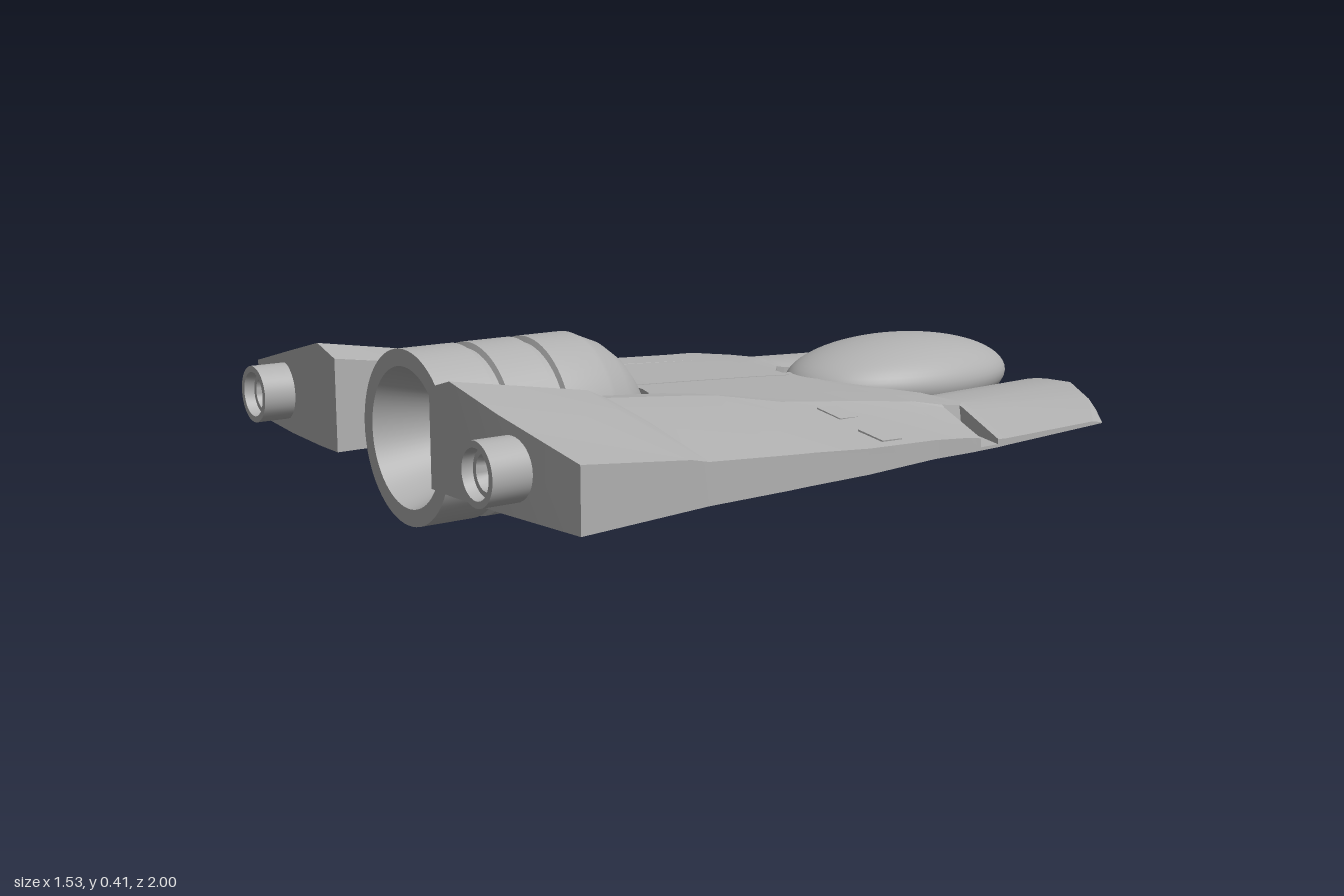
import * as THREE from 'three';
import { toCreasedNormals } from 'three/addons/utils/BufferGeometryUtils.js';

const hullGrey = new THREE.MeshStandardMaterial({ color: 0xb0b0b0 });
const BELLY = 0.14;

function part(name, geometry, x = 0, y = 0, z = 0) {
  const mesh = new THREE.Mesh(geometry, hullGrey);
  mesh.name = name;
  mesh.position.set(x, y, z);
  return mesh;
}

// Each section: z, sweep of the outer edge, six x values, six top heights
// (inner edge, step base, step top, ridge, shoulder, outer edge).
const foreSections = [
  [-1, 0.22, 0.20, 0.22, 0.25, 0.28, 0.49, 0.61, 0.145, 0.145, 0.145, 0.145, 0.145, 0.142],
  [-0.93, 0.19, 0.205, 0.23, 0.27, 0.36, 0.49, 0.615, 0.18, 0.185, 0.19, 0.193, 0.175, 0.15],
  [-0.46, 0.07, 0.28, 0.31, 0.34, 0.43, 0.485, 0.655, 0.193, 0.198, 0.203, 0.203, 0.192, 0.157],
  [-0.41, 0.05, 0.255, 0.29, 0.33, 0.475, 0.485, 0.66, 0.205, 0.212, 0.218, 0.208, 0.204, 0.16],
  [-0.409, 0.05, 0.255, 0.29, 0.33, 0.475, 0.485, 0.66, 0.205, 0.212, 0.218, 0.208, 0.15, 0.148],
  [-0.351, 0.05, 0.175, 0.25, 0.31, 0.475, 0.485, 0.663, 0.22, 0.225, 0.228, 0.216, 0.15, 0.148],
  [-0.35, 0.05, 0.175, 0.25, 0.31, 0.475, 0.485, 0.663, 0.22, 0.225, 0.228, 0.216, 0.21, 0.17],
  [-0.27, 0, 0.08, 0.20, 0.29, 0.45, 0.5, 0.665, 0.232, 0.234, 0.235, 0.23, 0.213, 0.175],
  [-0.255, 0, 0.004, 0.20, 0.29, 0.45, 0.5, 0.665, 0.233, 0.235, 0.236, 0.231, 0.215, 0.177],
];
const aftSections = [
  foreSections[8],
  [-0.15, 0, 0.004, 0.24, 0.29, 0.42, 0.5, 0.665, 0.24, 0.242, 0.243, 0.24, 0.22, 0.185],
  [0.08, 0, 0.004, 0.288, 0.289, 0.38, 0.5, 0.695, 0.252, 0.255, 0.256, 0.258, 0.235, 0.20],
  [0.25, 0, 0.004, 0.245, 0.246, 0.35, 0.5, 0.702, 0.26, 0.26, 0.277, 0.288, 0.263, 0.214],
  [0.255, 0, 0.06, 0.244, 0.245, 0.35, 0.5, 0.702, 0.26, 0.26, 0.277, 0.288, 0.263, 0.214],
  [0.32, 0, 0.225, 0.229, 0.23, 0.34, 0.5, 0.707, 0.265, 0.265, 0.283, 0.294, 0.269, 0.219],
  [0.54, 0, 0.23, 0.231, 0.232, 0.33, 0.5, 0.715, 0.298, 0.299, 0.3, 0.312, 0.284, 0.235],
  [0.59, 0, 0.23, 0.231, 0.232, 0.33, 0.5, 0.722, 0.315, 0.316, 0.317, 0.335, 0.302, 0.247],
  [0.93, -0.04, 0.23, 0.233, 0.236, 0.32, 0.5, 0.765, 0.364, 0.365, 0.366, 0.39, 0.347, 0.285],
];

// Skin a flat-bottomed hull through its sections
function loft(sections, capFront, capBack) {
  const pos = [], index = [], n = 12;
  for (const [z, sweep, ...v] of sections) {
    const zs = v.slice(0, 6).map((x) => z + sweep * Math.max(0, (x - v[3]) / (v[5] - v[3])) ** 1.5);
    for (let i = 0; i < 6; i++) pos.push(v[i], v[6 + i], zs[i]);
    for (let i = 5; i >= 0; i--) pos.push(v[i], BELLY, zs[i]);
  }
  for (let s = 0; s < sections.length - 1; s++) {
    for (let i = 0; i < n; i++) {
      const j = (i + 1) % n;
      const a = s * n + i, b = s * n + j, c = b + n, d = a + n;
      index.push(a, d, b, d, c, b);
    }
  }
  const last = (sections.length - 1) * n;
  for (let i = 0; i < 5; i++) {
    const low = 11 - i;
    if (capFront) index.push(i, low - 1, low, i, i + 1, low - 1);
    if (capBack) index.push(last + i, last + low, last + low - 1, last + i, last + low - 1, last + i + 1);
  }
  const geo = new THREE.BufferGeometry();
  geo.setAttribute('position', new THREE.Float32BufferAttribute(pos, 3));
  geo.setIndex(index);
  return toCreasedNormals(geo, 0.2);
}

// Turned part whose axis runs along z; profile is [radius, z]
function turned(profile, segments = 48) {
  const geo = new THREE.LatheGeometry(profile.map(([r, z]) => new THREE.Vector2(r, z)), segments);
  geo.rotateX(Math.PI / 2);
  return toCreasedNormals(geo, 0.5);
}

function createSide(name) {
  const side = new THREE.Group();
  side.name = name;
  side.add(part('foreHull', loft(foreSections, true, false)));
  side.add(part('aftHull', loft(aftSections, false, true)));

  // Small hollow thruster at the wing's rear
  side.add(part('wingThruster', turned([
    [0, 0.86], [0.07, 0.86], [0.07, 1], [0.055, 1], [0.052, 0.975],
    [0.04, 0.975], [0.036, 0.95], [0.022, 0.95], [0.02, 0.93], [0, 0.93],
  ], 32), 0.545, 0.24, 0));

  // Raised hatch plates on the wing
  for (const [x, y, tilt] of [[0.47, 0.233, -0.2], [0.618, 0.2055, -0.19]]) {
    const hatch = part('wingHatch', new THREE.BoxGeometry(0.075, 0.006, 0.07), x, y, -0.02);
    hatch.rotation.set(-0.07, 0.15, tilt);
    side.add(hatch);
  }
  return side;
}

export function createModel() {
  const model = new THREE.Group();
  model.name = 'spacecraft';

  const left = createSide('leftHull');
  const right = createSide('rightHull');
  right.scale.x = -1;
  model.add(left, right);

  // Filler below the centre seam
  model.add(part('centreSpine', new THREE.BoxGeometry(0.03, 0.08, 0.49), 0, 0.184, -0.003));

  // Egg-shaped cockpit pod with a flat underside
  const podProfile = [[0, 0.15], [0.9, 0.15], [0.96, 0.165], [0.99, 0.18]];
  for (let i = 0; i <= 16; i++) {
    const a = (i / 16) * Math.PI / 2;
    podProfile.push([Math.cos(a), 0.195 + 0.112 * Math.sin(a)]);
  }
  const podGeo = new THREE.LatheGeometry(podProfile.map(([r, y]) => new THREE.Vector2(Math.max(r, 0), y)), 64);
  podGeo.scale(0.225, 1, 0.35);
  model.add(part('cockpitPod', toCreasedNormals(podGeo, 0.6), 0, 0, -0.63));
  model.add(part('podNeck', new THREE.BoxGeometry(0.14, 0.07, 0.06), 0, 0.19, -0.285));

  // Main engine: domed nose, two grooves and a deep exhaust cup
  model.add(part('mainEngine', turned([
    [0, 0.24], [0.06, 0.25], [0.1, 0.28], [0.145, 0.32], [0.178, 0.365], [0.198, 0.415], [0.205, 0.43],
    [0.205, 0.55], [0.192, 0.555], [0.192, 0.575], [0.205, 0.58],
    [0.205, 0.7], [0.192, 0.705], [0.192, 0.725], [0.205, 0.73],
    [0.205, 0.87], [0.165, 0.87], [0.11, 0.7], [0.065, 0.66], [0, 0.66],
  ], 64), 0, 0.206, 0));

  return model;
}
